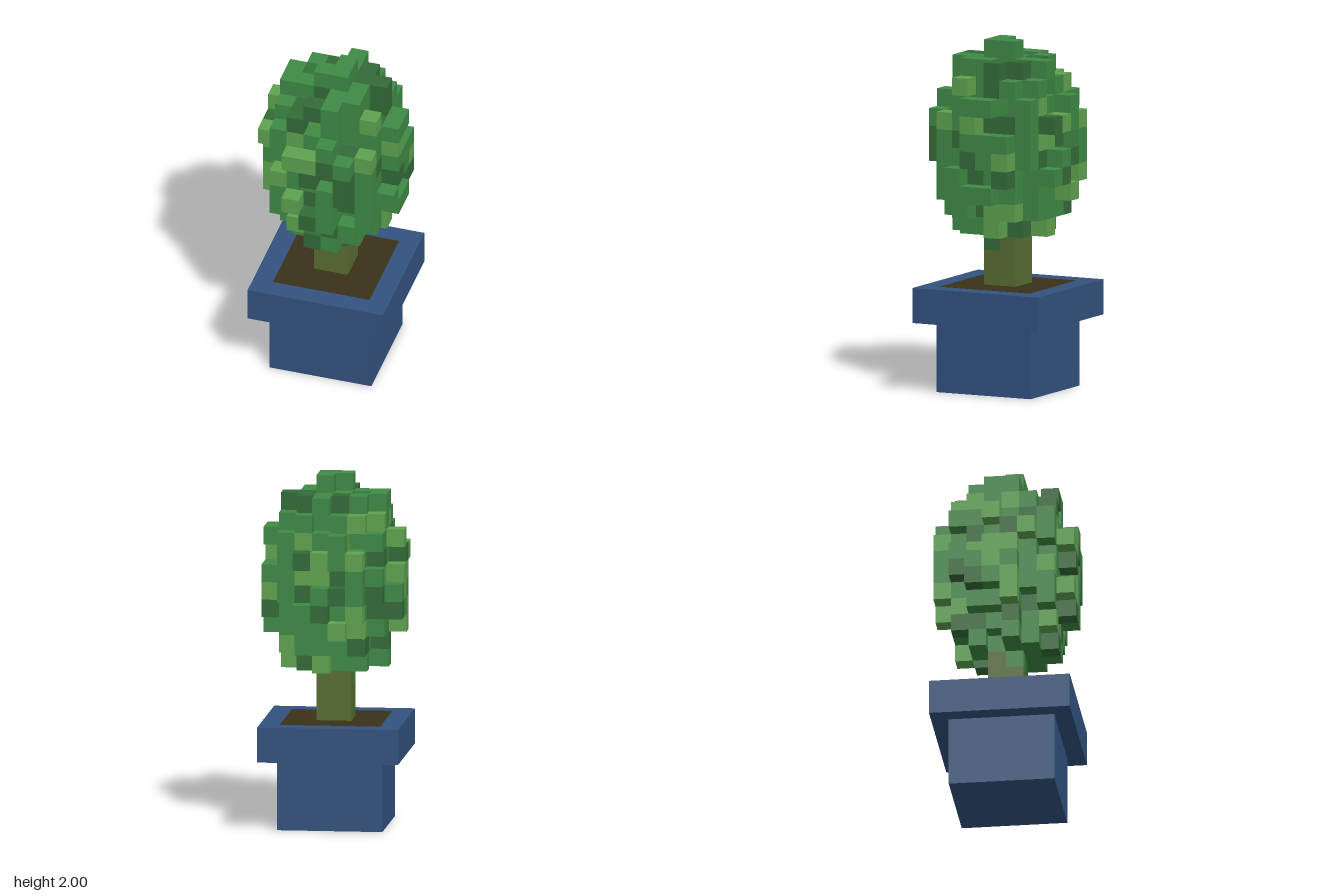
import * as THREE from 'three';
import { mergeGeometries } from 'three/addons/utils/BufferGeometryUtils.js';

const CELL = 0.1, NX = 8, NY = 12, BASE = 0.8;

function material(name, color) {
  const m = new THREE.MeshStandardMaterial({ color });
  m.name = name;
  return m;
}

// Leaf shades (M mid, D dark, L light) on three sides of the crown, top row first
const FRONT = ['...MM...', '.MMDMMD.', '.MDLMML.', 'LMLMMMMM', 'LMLLDMLL', 'LMMDDDMM',
  'MLMMMDMD', 'LMLDMDMM', 'LMDDMMMM', '.DLDDMM.', '.MMDMML.', '...MD...'];
const SIDE = ['...MM...', '.MMMDDM.', '.MLMDMM.', 'MMMMMMMM', 'MLMLDDMD', 'DMDMMMMM',
  'DMMDMLMM', 'MMMDMDMM', 'MMMMMMML', '.MMDLLM.', '.MMMLDL.', '...D....'];
const TOP = ['..LMLD..', '.MLMMMM.', 'MLMDMDMM', 'LMMMMDDM', 'DMMMMMDM', 'LMDLMMLM',
  '.MDDMDL.', '..LLMM..'];

// Seeded generator
function seeded(seed) {
  return () => {
    seed = (Math.imul(seed, 1664525) + 1013904223) >>> 0;
    return seed / 4294967296;
  };
}

const key = (x, y, z) => x + NX * (z + NX * y);
const centre = (x, y, z) => [(x - 3.5) * CELL, BASE + (y + 0.5) * CELL, (z - 3.5) * CELL];
const has = (set, x, y, z) =>
  x >= 0 && x < NX && y >= 0 && y < NY && z >= 0 && z < NX && set.has(key(x, y, z));
const DIRS = [[1, 0, 0], [-1, 0, 0], [0, 1, 0], [0, -1, 0], [0, 0, 1], [0, 0, -1]];

function eachCell(fn) {
  for (let y = 0; y < NY; y++)
    for (let z = 0; z < NX; z++)
      for (let x = 0; x < NX; x++) fn(x, y, z);
}

// Rows of cubes running inward from the three shaded sides, each with its shade
function shadedRows() {
  const rows = [];
  const inward = (n, fn) => Array.from({ length: n }, (_, i) => key(...fn(n - 1 - i)));
  const add = (letter, cells) => letter !== '.' && rows.push({ letter, cells });
  for (let a = 0; a < NX; a++) {
    for (let z = 0; z < NX; z++) add(TOP[z][a], inward(NY, (y) => [a, y, z]));
    for (let y = 0; y < NY; y++) {
      add(SIDE[11 - y][a], inward(NX, (x) => [x, y, 7 - a]));
      add(FRONT[11 - y][a], inward(NX, (z) => [a, y, z]));
    }
  }
  return rows;
}

// Ellipsoid of cubes with some of its outer cubes knocked out
function crownCells(rows, random) {
  const solid = new Set();
  eachCell((x, y, z) => {
    const [px, py, pz] = centre(x, y, z);
    const inside = (px * px + pz * pz) / 0.16 + ((py - 1.4) / 0.6) ** 2 < 0.98;
    if (inside && (y > 0 || z === 4)) solid.add(key(x, y, z));
  });
  const cells = new Set(solid);

  // Outer cubes that may go, apart from those resting on the trunk
  const loose = [];
  eachCell((x, y, z) => {
    const overTrunk = y === 1 && Math.abs(x - 3.5) < 1 && Math.abs(z - 3.5) < 1;
    if (y < 1 || overTrunk || !has(solid, x, y, z)) return;
    if (DIRS.some(([a, b, c]) => !has(solid, x + a, y + b, z + c))) loose.push(key(x, y, z));
  });

  // A cube goes only if every row through it keeps another cube
  const remove = (k) => {
    const through = rows.filter((r) => r.cells.includes(k));
    const spare = through.every((r) => r.cells.some((c) => c !== k && cells.has(c)));
    return spare && cells.delete(k);
  };
  const shadesOf = (k) => rows
    .filter((r) => r.cells.find((c) => cells.has(c)) === k).map((r) => r.letter);
  // Knock out cubes whose shades differ between sides
  const carve = () => {
    let changed = true;
    while (changed) {
      changed = false;
      for (const k of loose)
        if (cells.has(k) && new Set(shadesOf(k)).size > 1 && remove(k)) changed = true;
    }
  };
  carve();
  for (const k of loose)
    if (cells.has(k) && shadesOf(k).length < 2 && random() < 0.4) remove(k);
  carve();
  return cells;
}

function buildCrown(materials) {
  const random = seeded(7);
  const rows = shadedRows();
  const cells = crownCells(rows, random);
  const shade = new Map();
  for (const k of cells) {
    const r = random();
    shade.set(k, r < 0.58 ? 'M' : r < 0.82 ? 'D' : 'L');
  }
  for (const { letter, cells: row } of rows) shade.set(row.find((k) => cells.has(k)), letter);

  // Collect the exposed faces of each shade
  const faces = { M: [], D: [], L: [] };
  const forward = new THREE.Vector3(0, 0, 1);
  eachCell((x, y, z) => {
    if (!has(cells, x, y, z)) return;
    const p = centre(x, y, z);
    for (const d of DIRS) {
      if (has(cells, x + d[0], y + d[1], z + d[2])) continue;
      const q = new THREE.Quaternion().setFromUnitVectors(forward, new THREE.Vector3(...d));
      faces[shade.get(key(x, y, z))].push(new THREE.PlaneGeometry(CELL, CELL)
        .applyQuaternion(q)
        .translate(...p.map((v, i) => v + d[i] * CELL / 2)));
    }
  });
  const crown = new THREE.Group();
  crown.name = 'crown';
  const names = { M: 'midLeaves', D: 'darkLeaves', L: 'lightLeaves' };
  for (const s of ['M', 'D', 'L']) {
    const mesh = new THREE.Mesh(mergeGeometries(faces[s]), materials[s]);
    mesh.name = names[s];
    crown.add(mesh);
  }
  return crown;
}

export function createModel() {
  const model = new THREE.Group();
  model.name = 'pottedTree';
  const blue = material('potBlue', 0x32527f);
  const brown = material('soilBrown', 0x3b3119);
  const bark = material('barkOlive', 0x586d33);

  const box = (name, mat, w, y0, y1, d, z = 0) => {
    const mesh = new THREE.Mesh(new THREE.BoxGeometry(w, y1 - y0, d), mat);
    mesh.position.set(0, (y0 + y1) / 2, z);
    mesh.name = name;
    model.add(mesh);
  };

  // Pot, a thin sheet of soil level with the rim, and the trunk
  box('potBody', blue, 0.6, 0, 0.4, 0.6);
  box('potRim', blue, 0.8, 0.4, 0.6, 0.8);
  box('soil', brown, 0.57, 0.598, 0.601, 0.57);
  box('trunk', bark, 0.2, 0.6, 0.8, 0.2);
  // The trunk is half as deep where the lowest leaves begin
  box('upperTrunk', bark, 0.2, 0.8, 0.9, 0.1, -0.05);

  model.add(buildCrown({
    M: material('leafGreen', 0x3f8a45),
    D: material('darkLeafGreen', 0x336b38),
    L: material('lightLeafGreen', 0x5ea34f),
  }));
  return model;
}
